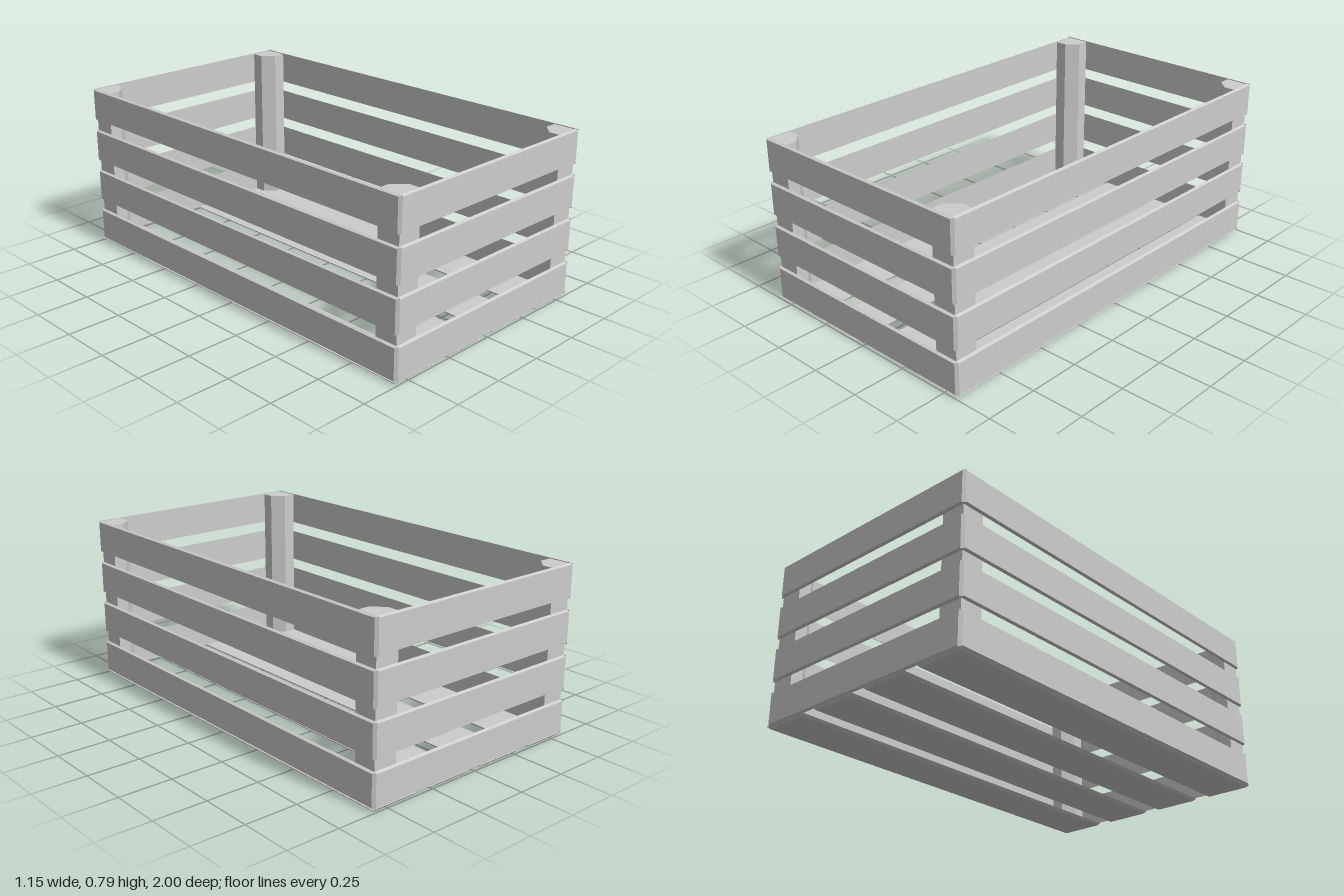
import * as THREE from 'three';

const T = 0.012;                       // board thickness
const X = 0.574, Z = 1.0, H = 0.157;   // outer half sizes, wall board height
const PITCH = 0.208, BOARDS = 4;

// Board lying in XY with its outer face toward +z; the outer face is inset by a bevel.
function boardGeometry(w, h, bevelX, bevelY) {
  const g = new THREE.BoxGeometry(w, h, T).toNonIndexed();
  const p = g.attributes.position;
  for (let i = 0; i < p.count; i++) {
    if (p.getZ(i) > 0) {
      p.setX(i, p.getX(i) - Math.sign(p.getX(i)) * bevelX);
      p.setY(i, p.getY(i) - Math.sign(p.getY(i)) * bevelY);
    }
  }
  g.computeVertexNormals();
  return g;
}

export function createModel() {
  const crate = new THREE.Group();
  crate.name = 'slattedCrate';
  const grey = new THREE.MeshStandardMaterial({ color: 0xcccccc });
  grey.name = 'grey wood';

  const add = (name, geometry, x, y, z) => {
    const mesh = new THREE.Mesh(geometry, grey);
    mesh.name = name;
    mesh.position.set(x, y, z);
    crate.add(mesh);
    return mesh;
  };

  // Walls: four boards per side, meeting in chamfered corners
  const endBoard = boardGeometry(2 * X, H, T, 0.006);
  const sideBoard = boardGeometry(2 * Z, H, T, 0.006);
  for (let i = 0; i < BOARDS; i++) {
    const y = T + H / 2 + i * PITCH;
    add('frontBoard', endBoard, 0, y, Z - T / 2);
    add('backBoard', endBoard, 0, y, -Z + T / 2).rotation.y = Math.PI;
    add('leftBoard', sideBoard, X - T / 2, y, 0).rotation.y = Math.PI / 2;
    add('rightBoard', sideBoard, -X + T / 2, y, 0).rotation.y = -Math.PI / 2;
  }

  // Floor: four long boards with the bevelled face down
  const floorWidth = 0.234;
  const floorBoard = boardGeometry(floorWidth, 2 * Z - 0.004, T, T);
  for (let i = 0; i < 4; i++) {
    const x = (i - 1.5) * 2 * (X - floorWidth / 2) / 3;
    add('floorBoard', floorBoard, x, T / 2, 0).rotation.x = Math.PI / 2;
  }

  // Corner posts with a chamfered inner edge
  const px = X - T, pz = Z - T;
  const top = T + H + 3 * PITCH - 0.004;
  for (const sx of [-1, 1]) for (const sz of [-1, 1]) {
    const outline = [[px, pz], [0.449, pz], [0.449, 0.93], [0.503, 0.878], [px, 0.878]];
    const shape = new THREE.Shape(outline.map(([x, z]) => new THREE.Vector2(x * sx, -z * sz)));
    const post = new THREE.ExtrudeGeometry(shape, { depth: top - T, bevelEnabled: false });
    add('cornerPost', post.rotateX(-Math.PI / 2), 0, T, 0);
  }
  return crate;
}
